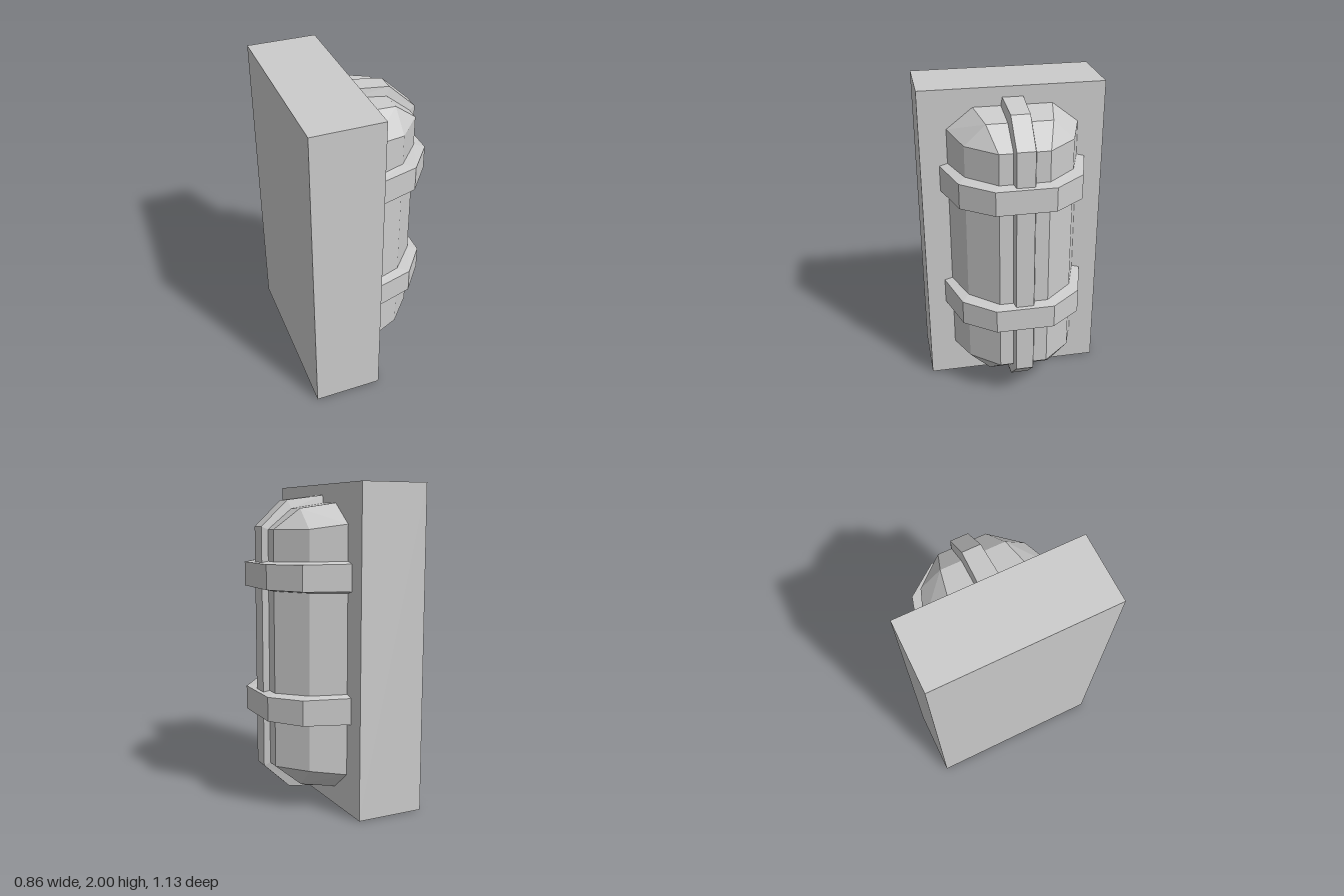
import * as THREE from 'three';
import { ConvexGeometry } from 'three/addons/geometries/ConvexGeometry.js';

const material = new THREE.MeshStandardMaterial({ color: 0xcccccc, flatShading: true });

function part(name, geometry, parent) {
  const mesh = new THREE.Mesh(geometry, material);
  mesh.name = name;
  parent.add(mesh);
  return mesh;
}

// Bevelled strip that wraps over the lamp in the xy plane.
// Rows are [x, y, half width] for one half; the other half is mirrored in y.
function strapGeometry(inner, outer) {
  const section = (i, s) => {
    const [ix, iy, iw] = inner[i], [ox, oy, ow] = outer[i];
    return [[ix, s * iy, iw], [ox, s * oy, ow], [ox, s * oy, -ow], [ix, s * iy, -iw]];
  };
  const loops = [0, 1, 2].map(i => section(i, 1)).concat([2, 1, 0].map(i => section(i, -1)));
  const positions = [];
  for (let i = 0; i < loops.length - 1; i++) {
    for (let k = 0; k < 3; k++) {
      const a = loops[i][k], b = loops[i + 1][k], c = loops[i + 1][k + 1], d = loops[i][k + 1];
      positions.push(...a, ...b, ...c, ...a, ...c, ...d);
    }
  }
  const geometry = new THREE.BufferGeometry();
  geometry.setAttribute('position', new THREE.Float32BufferAttribute(positions, 3));
  geometry.computeVertexNormals();
  return geometry;
}

export function createModel() {
  const model = new THREE.Group();
  model.name = 'wallLamp';

  // Mounting block
  part('mountingBlock', new THREE.BoxGeometry(0.43, 2, 1.13), model).position.set(-0.215, 1, 0);

  // Faceted glass: mirrored corners of two octagons and a front rectangle
  const corners = [
    [0, 0.76, 0.4], [0, 0.885, 0.24],
    [0.215, 0.73, 0.325], [0.215, 0.852, 0.197],
    [0.367, 0.727, 0.15],
  ];
  const points = [];
  for (const [x, y, z] of corners)
    for (const sy of [1, -1])
      for (const sz of [1, -1]) points.push(new THREE.Vector3(x, sy * y, sz * z));
  part('lampGlass', new ConvexGeometry(points), model).position.y = 1;

  // Vertical guard strap
  part('verticalStrap', strapGeometry(
    [[0, 0.885, 0.072], [0.215, 0.852, 0.07], [0.367, 0.727, 0.066]],
    [[0, 0.935, 0.063], [0.235, 0.905, 0.057], [0.405, 0.745, 0.055]],
  ), model).position.y = 1;

  // Two horizontal guard bands
  const band = strapGeometry(
    [[0, 0.4, 0.095], [0.215, 0.325, 0.091], [0.367, 0.15, 0.088]],
    [[0, 0.45, 0.081], [0.28, 0.37, 0.078], [0.427, 0.18, 0.075]],
  ).rotateX(Math.PI / 2);
  part('lowerBand', band, model).position.y = 0.65;
  part('upperBand', band, model).position.y = 1.45;

  return model;
}
